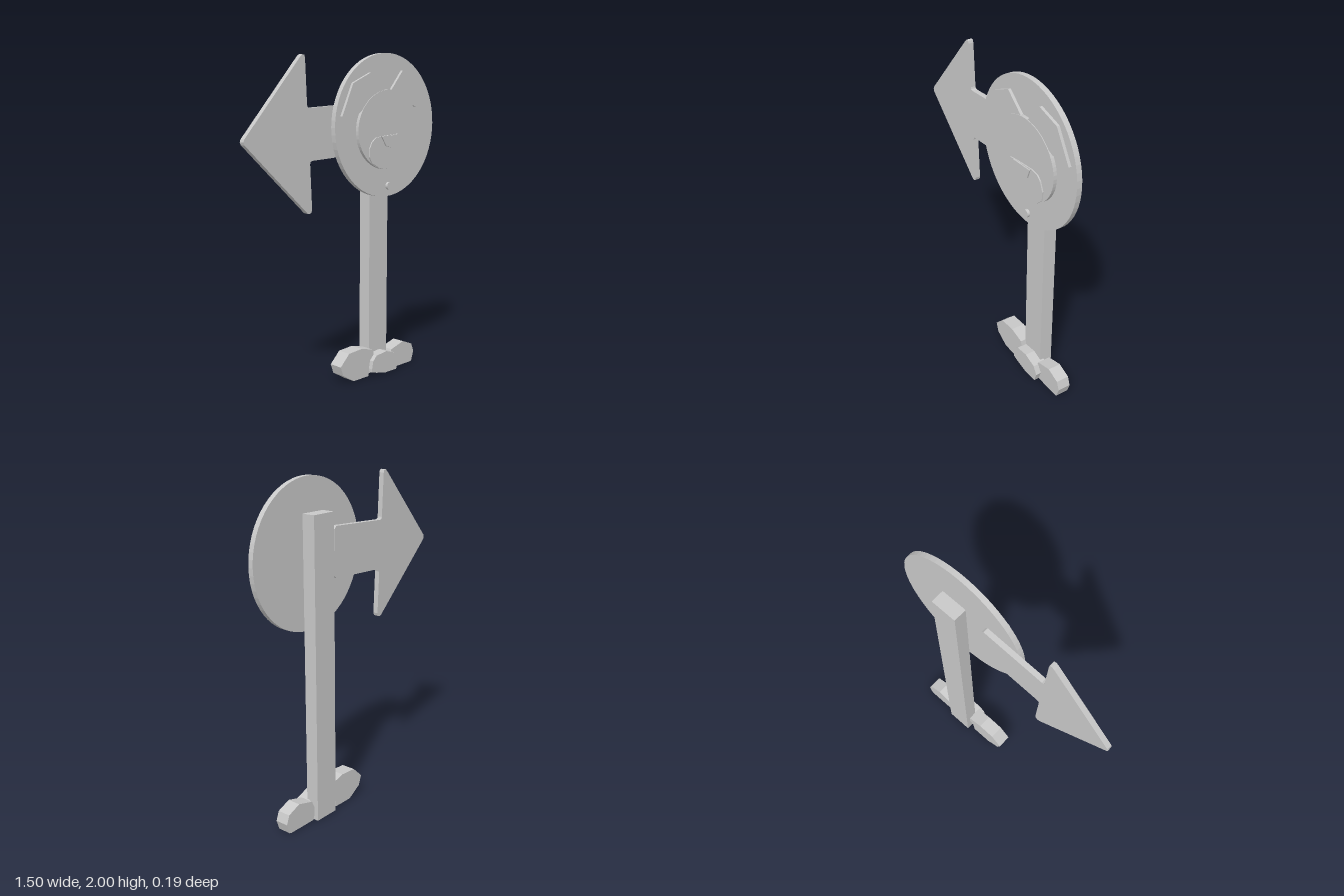
import * as THREE from 'three';

export function createModel() {
  const group = new THREE.Group();
  const grey = new THREE.MeshStandardMaterial({ color: 0xc8c8c8 });
  grey.name = 'light grey';

  // Flat plate cut from a shape, filling the depth from back to front
  function plate(name, shape, back, front) {
    const geometry = new THREE.ExtrudeGeometry(shape, {
      depth: front - back, bevelEnabled: false, curveSegments: 32,
    });
    geometry.translate(0, 0, back);
    const mesh = new THREE.Mesh(geometry, grey);
    mesh.name = name;
    group.add(mesh);
  }
  const outline = (points) => new THREE.Shape(points.map(([x, y]) => new THREE.Vector2(x, y)));
  const oval = (x, y, rx, ry) => new THREE.Shape().absellipse(x, y, rx, ry, 0, Math.PI * 2);

  // Post
  const post = new THREE.Mesh(new THREE.BoxGeometry(0.162, 1.81, 0.082), grey);
  post.name = 'post';
  post.position.set(0.32, 0.905, -0.052);
  group.add(post);

  // Arrow with softened corners, tucked behind the disc
  plate('arrow', outline([
    [-0.745, 1.5], [-0.75, 1.515], [-0.745, 1.53], [-0.35, 1.965], [-0.335, 1.978],
    [-0.32, 1.975], [-0.315, 1.96], [-0.302, 1.7], [-0.298, 1.69], [-0.285, 1.685],
    [0.12, 1.705], [0.134, 1.69], [0.136, 1.42], [0.12, 1.405], [-0.265, 1.388],
    [-0.278, 1.384], [-0.282, 1.37], [-0.269, 1.11], [-0.275, 1.092], [-0.29, 1.086], [-0.305, 1.092],
  ]), -0.008, 0.024);

  // Sign disc and its screw
  plate('signDisc', oval(0.314, 1.568, 0.432, 0.432), 0.024, 0.056);
  plate('screw', oval(0.331, 1.2, 0.023, 0.023), 0.056, 0.072);

  // Animal face in stacked layers
  plate('rightEar', outline([
    [-0.077, 1.632], [0.013, 1.822], [0.156, 1.882], [0.275, 1.78],
    [0.27, 1.6], [0.088, 1.665], [0.045, 1.638],
  ]), 0.056, 0.073);
  plate('leftEar', outline([
    [0.336, 1.78], [0.437, 1.897], [0.585, 1.852], [0.693, 1.672],
    [0.56, 1.676], [0.527, 1.69], [0.34, 1.6],
  ]), 0.056, 0.073);
  plate('face', oval(0.316, 1.543, 0.265, 0.24), 0.056, 0.077);
  plate('muzzle', outline([
    [0.14, 1.385], [0.142, 1.44], [0.16, 1.475], [0.195, 1.5], [0.26, 1.508], [0.4, 1.518],
    [0.445, 1.51], [0.475, 1.485], [0.498, 1.43], [0.495, 1.375], [0.45, 1.335],
    [0.39, 1.312], [0.31, 1.305], [0.22, 1.32], [0.16, 1.35],
  ]), 0.077, 0.085);
  plate('nose', outline([
    [0.235, 1.507], [0.39, 1.512], [0.37, 1.455], [0.325, 1.435], [0.275, 1.448],
  ]), 0.085, 0.093);

  // Stones around the foot of the post
  plate('rightStone', outline([
    [-0.042, 0.115], [0.03, 0.185], [0.14, 0.192], [0.24, 0.165], [0.25, 0.12],
    [0.21, 0.075], [0.2, 0], [0.07, 0], [-0.02, 0.055],
  ]), -0.065, 0.024);
  plate('leftStone', outline([
    [0.39, 0.06], [0.42, 0.125], [0.53, 0.155], [0.615, 0.12],
    [0.635, 0.065], [0.615, 0.005], [0.6, 0], [0.41, 0],
  ]), -0.065, 0.018);
  plate('frontStone', outline([
    [0.205, 0.05], [0.215, 0.1], [0.245, 0.13], [0.335, 0.14], [0.42, 0.11],
    [0.45, 0.06], [0.43, 0], [0.325, 0], [0.245, 0.018], [0.205, 0.03],
  ]), -0.035, 0.052);

  return group;
}
